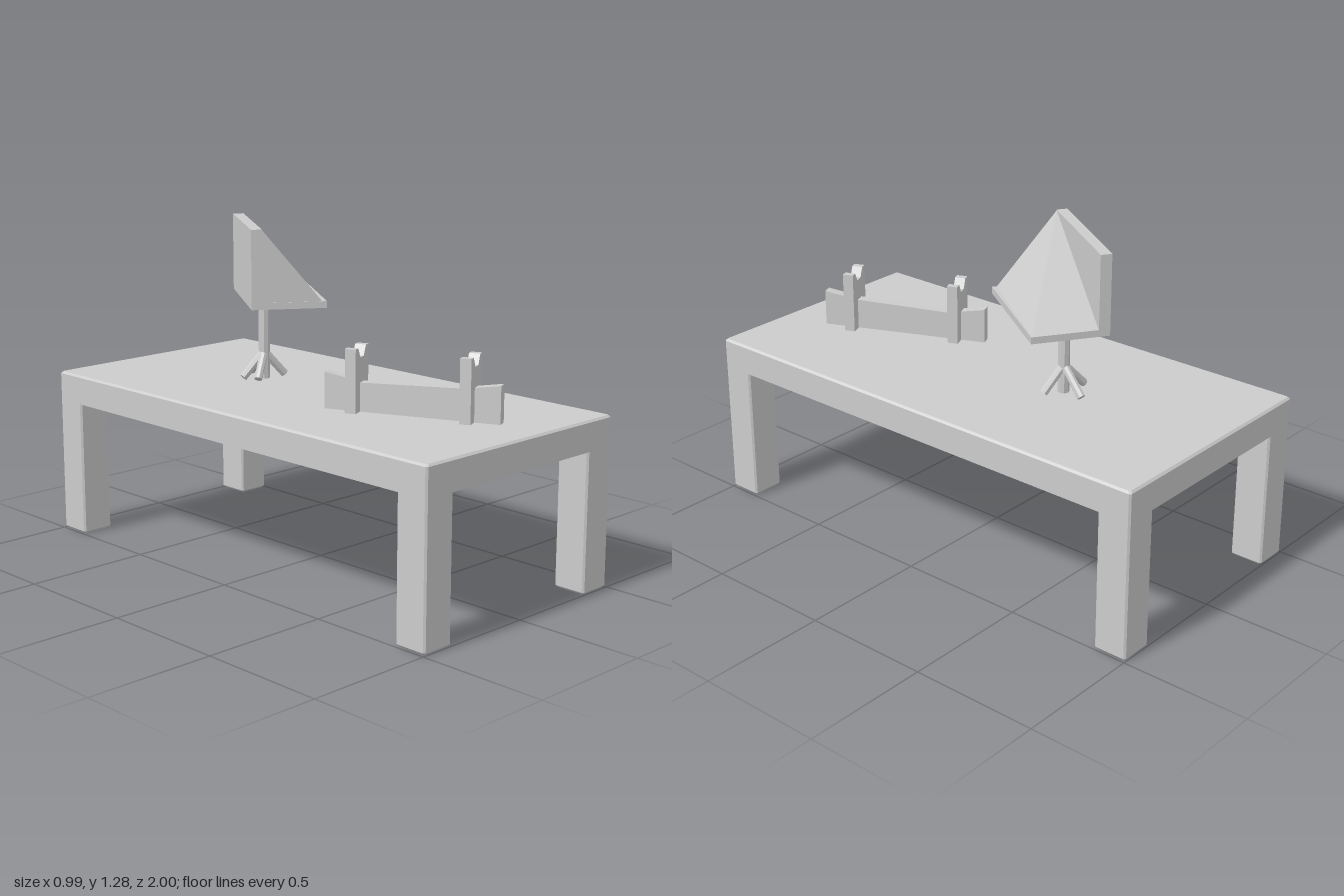
import * as THREE from 'three';
import { ConvexGeometry } from 'three/addons/geometries/ConvexGeometry.js';

const mat = new THREE.MeshStandardMaterial({ color: 0xcccccc, flatShading: true });

function add(parent, name, geometry, x = 0, y = 0, z = 0) {
  const mesh = new THREE.Mesh(geometry, mat);
  mesh.name = name;
  mesh.position.set(x, y, z);
  parent.add(mesh);
  return mesh;
}

// Eight-sided outline of a rectangle with cut corners
function outline(hx, hz, cut, y) {
  const points = [];
  for (const sx of [-1, 1]) for (const sz of [-1, 1]) {
    points.push(new THREE.Vector3(sx * hx, y, sz * (hz - cut)));
    points.push(new THREE.Vector3(sx * (hx - cut), y, sz * hz));
  }
  return points;
}

// Block with chamfered uprights and an optional chamfer at the top or bottom
function block(hx, hz, y0, y1, bottomCut, topCut) {
  const c = 0.007;
  return new ConvexGeometry([
    ...outline(hx - bottomCut, hz - bottomCut, c, y0),
    ...outline(hx, hz, c, y0 + bottomCut),
    ...outline(hx, hz, c, y1 - topCut),
    ...outline(hx - topCut, hz - topCut, c, y1),
  ]);
}

// Round bar between two points
function rod(parent, name, a, b, radius, sides) {
  const dir = b.clone().sub(a);
  const mesh = add(parent, name, new THREE.CylinderGeometry(radius, radius, dir.length(), sides));
  mesh.position.copy(a).add(b).multiplyScalar(0.5);
  mesh.quaternion.setFromUnitVectors(new THREE.Vector3(0, 1, 0), dir.normalize());
}

function makeTable() {
  const table = new THREE.Group();
  table.name = 'table';
  add(table, 'tableTop', block(0.495, 1, 0.54, 0.657, 0, 0.008));
  for (const sx of [-1, 1]) for (const sz of [-1, 1])
    add(table, 'tableLeg', block(0.067, 0.067, 0, 0.545, 0.009, 0), sx * 0.428, 0, sz * 0.933);
  return table;
}

function makeDisplayStand() {
  const stand = new THREE.Group();
  stand.name = 'displayStand';

  // Pole and splayed feet
  const px = 0.012, pz = -0.333;
  add(stand, 'pole', new THREE.CylinderGeometry(0.022, 0.022, 0.325, 8), px, 0.8175, pz);
  for (const [dx, dz] of [[-0.09, -0.025], [-0.07, 0.04], [0.02, -0.1], [0.08, 0.03]])
    rod(stand, 'foot', new THREE.Vector3(px, 0.765, pz),
      new THREE.Vector3(px + dx, 0.668, pz + dz), 0.016, 8);

  // Tray, back panel and the sloped filler between them
  const head = new THREE.Group();
  head.name = 'displayHead';
  head.position.set(0.065, 0, -0.304);
  head.rotation.y = -0.588;
  add(head, 'tray', new THREE.BoxGeometry(0.25, 0.026, 0.505), 0.02, 0.987, 0);
  add(head, 'backPanel', new THREE.BoxGeometry(0.042, 0.305, 0.505), -0.1235, 1.1265, 0);
  const back = -0.103, front = 0.128, end = 0.25;
  add(head, 'slopedFace', new ConvexGeometry([
    new THREE.Vector3(back, 1.277, end),
    new THREE.Vector3(back, 0.999, end),
    new THREE.Vector3(front, 0.999, end),
    new THREE.Vector3(front + 0.014, 0.999, -end),
    new THREE.Vector3(back, 0.999, -end),
  ]));
  stand.add(head);
  return stand;
}

function makeRack() {
  const rack = new THREE.Group();
  rack.name = 'rack';
  rack.position.set(-0.03, 0.655, 0.505);
  rack.rotation.y = 0.41;

  // Rail with raised ends, drawn in side view
  const side = new THREE.Shape([
    [-0.335, 0], [0.335, 0], [0.335, 0.143], [0.24, 0.128], [0.21, 0.122],
    [-0.21, 0.11], [-0.24, 0.122], [-0.335, 0.14],
  ].map(([u, v]) => new THREE.Vector2(u, v)));
  const rail = new THREE.ExtrudeGeometry(side, { depth: 0.04, bevelEnabled: false });
  rail.translate(0, 0, -0.02).rotateY(-Math.PI / 2);
  add(rack, 'rail', rail);

  // Notched uprights
  const face = new THREE.Shape([
    [-0.064, 0], [0.064, 0], [0.064, 0.24], [0.038, 0.24], [0.017, 0.203],
    [-0.017, 0.203], [-0.038, 0.24], [-0.064, 0.24],
  ].map(([u, v]) => new THREE.Vector2(u, v)));
  const upright = new THREE.ExtrudeGeometry(face, { depth: 0.042, bevelEnabled: false });
  upright.translate(0, 0, -0.021);
  for (const s of [-1, 1]) add(rack, 'notchedUpright', upright, 0, 0, s * 0.217);
  return rack;
}

export function createModel() {
  const model = new THREE.Group();
  model.name = 'tableWithStands';
  model.add(makeTable(), makeDisplayStand(), makeRack());
  return model;
}
